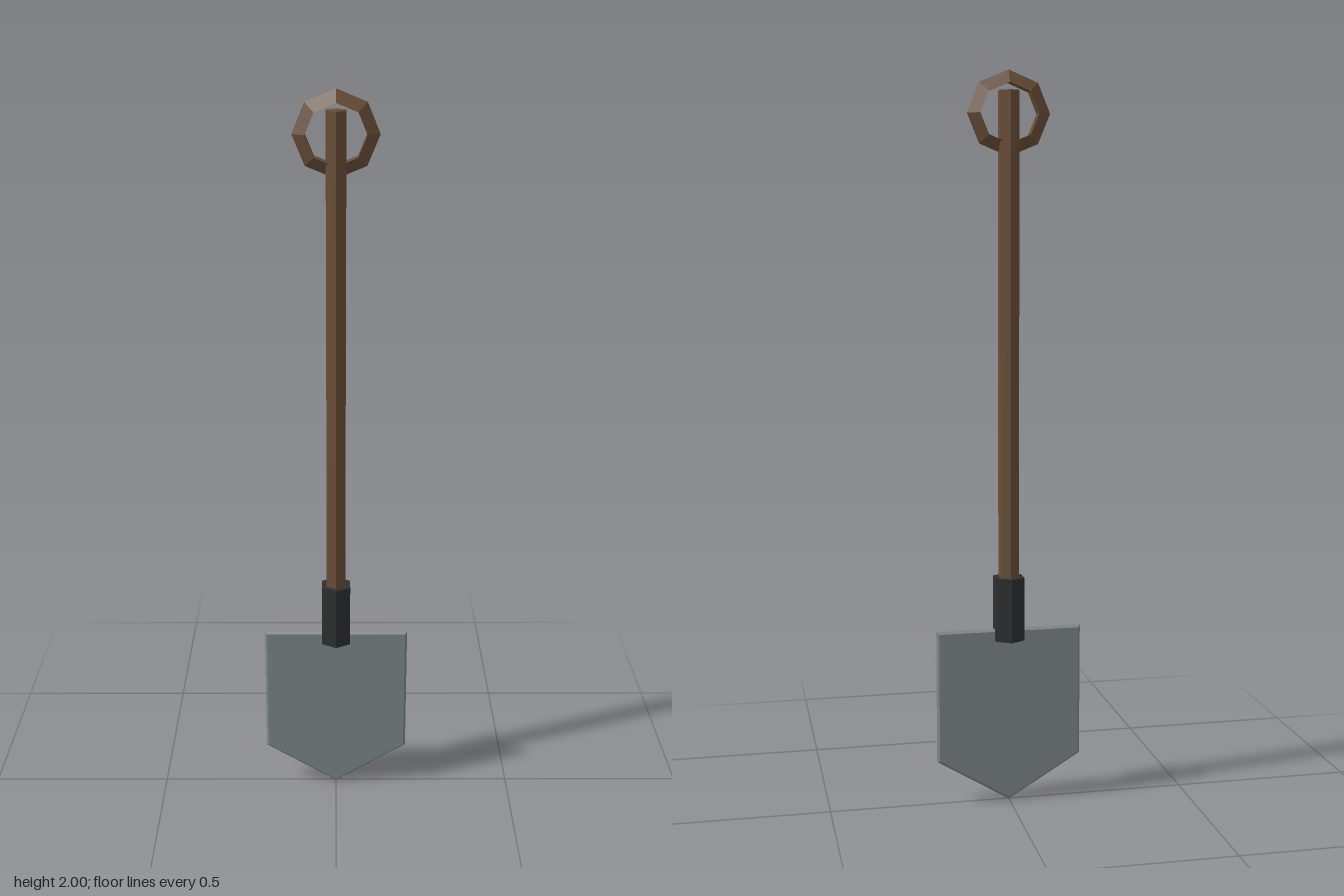
import * as THREE from 'three';

const wood = new THREE.MeshStandardMaterial({ name: 'wood', color: 0x6b4f38, flatShading: true });
const steel = new THREE.MeshStandardMaterial({ name: 'steel', color: 0x7f898c, flatShading: true });
const iron = new THREE.MeshStandardMaterial({ name: 'dark iron', color: 0x2d2f30, flatShading: true });

function addPart(group, name, geometry, material, y = 0) {
  const mesh = new THREE.Mesh(geometry, material);
  mesh.name = name;
  mesh.position.y = y;
  group.add(mesh);
  return mesh;
}

// Six-sided upright bar between two heights, with corners on the z axis
function addBar(group, name, radius, bottom, top, material) {
  const geometry = new THREE.CylinderGeometry(radius, radius, top - bottom, 6);
  return addPart(group, name, geometry, material, (bottom + top) / 2);
}

export function createModel() {
  const shovel = new THREE.Group();
  shovel.name = 'shovel';

  // Pointed blade with chamfered edges, outline is the outer edge
  const outline = new THREE.Shape([
    [0, 0], [0.202, 0.122], [0.202, 0.493], [-0.202, 0.493], [-0.202, 0.122],
  ].map(([x, y]) => new THREE.Vector2(x, y)));
  const bevel = 0.006;
  const bladeGeometry = new THREE.ExtrudeGeometry(outline, {
    depth: 0.009, bevelEnabled: true, bevelSegments: 1,
    bevelSize: bevel, bevelThickness: bevel, bevelOffset: -bevel,
  });
  bladeGeometry.translate(0, 0, -0.0045);
  addPart(shovel, 'blade', bladeGeometry, steel);

  // Socket and shaft
  addBar(shovel, 'socket', 0.046, 0.462, 0.639, iron);
  addBar(shovel, 'shaft', 0.03, 0.5, 1.947, wood);

  // Eight-sided grip ring with a triangular section pointing outwards
  addPart(shovel, 'gripRing', new THREE.TorusGeometry(0.09, 0.022, 3, 8), wood, 1.888);

  return shovel;
}
